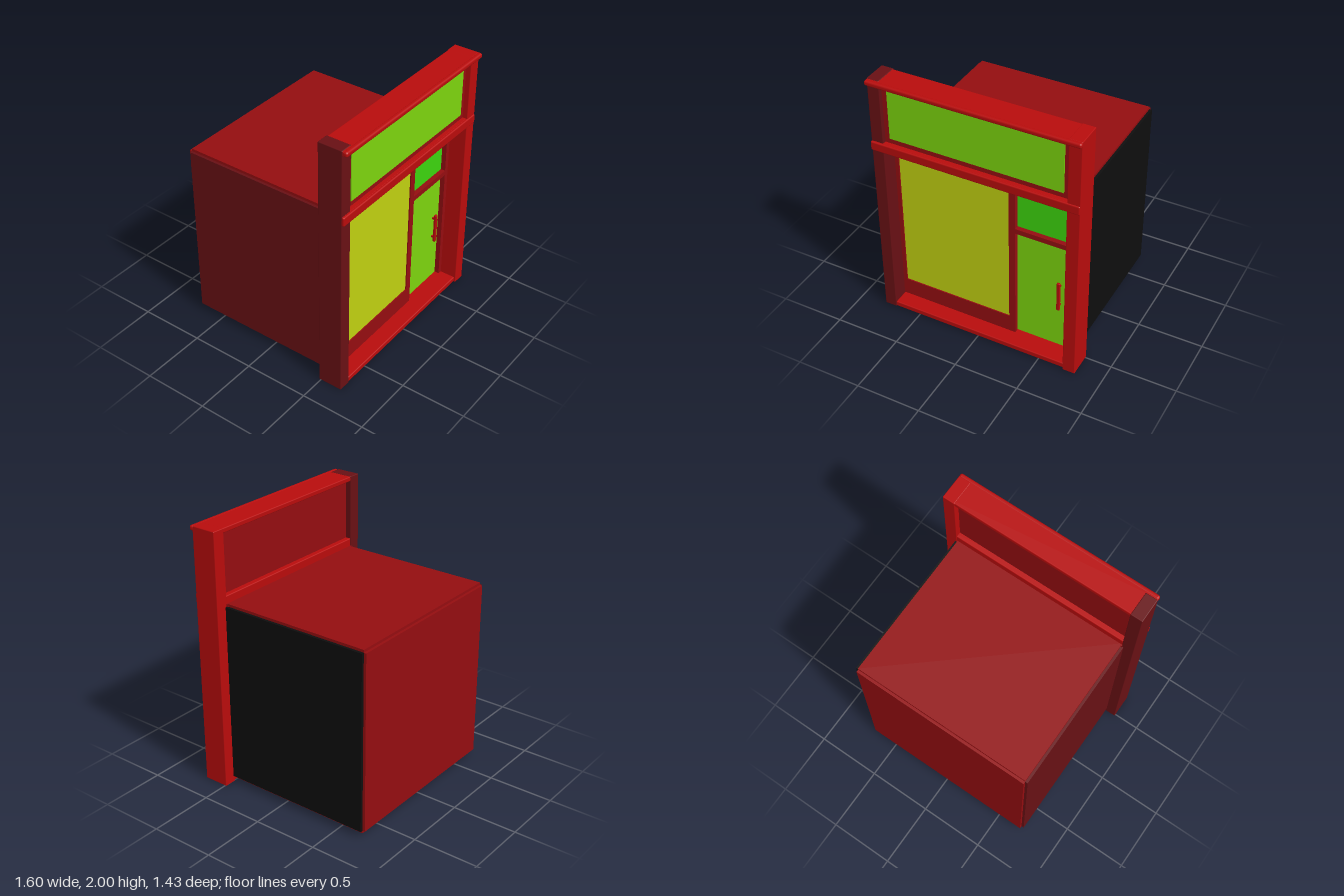
import * as THREE from 'three';
import { RoundedBoxGeometry } from 'three/addons/geometries/RoundedBoxGeometry.js';

const mat = (name, color) => {
  const m = new THREE.MeshStandardMaterial({ color });
  m.name = name;
  return m;
};

export function createModel() {
  const red = mat('bright red', 0xb80c0c);
  const crimson = mat('crimson', 0x940d10);
  const maroon = mat('maroon', 0x681014);
  const black = mat('black', 0x0e0e0e);
  const olive = mat('yellow green', 0xc0d010);
  const lime = mat('lime', 0x7cd40e);
  const green = mat('green', 0x3cd40e);

  const model = new THREE.Group();
  model.name = 'shopfront';

  // Box given by its limits on each axis; a radius rounds its edges
  const box = (parent, name, material, [x0, x1], [y0, y1], [z0, z1], radius = 0) => {
    const size = [x1 - x0, y1 - y0, z1 - z0];
    const geo = radius
      ? new RoundedBoxGeometry(...size, 3, radius)
      : new THREE.BoxGeometry(...size);
    const mesh = new THREE.Mesh(geo, material);
    mesh.name = name;
    mesh.position.set((x0 + x1) / 2, (y0 + y1) / 2, (z0 + z1) / 2);
    parent.add(mesh);
    return mesh;
  };
  const group = (name) => {
    const g = new THREE.Group();
    g.name = name;
    model.add(g);
    return g;
  };

  // Room behind the facade
  const room = group('room');
  box(room, 'roof', crimson, [-0.7, 0.695], [1.42, 1.44], [-0.695, 0.5]);
  box(room, 'floor', crimson, [-0.7, 0.695], [0.03, 0.05], [-0.695, 0.5]);
  box(room, 'backWall', crimson, [-0.7, 0.695], [0.05, 1.42], [-0.715, -0.695]);
  box(room, 'leftSideWall', black, [0.695, 0.715], [0.05, 1.42], [-0.695, 0.5]);
  box(room, 'rightSideWall', maroon, [-0.72, -0.7], [0.05, 1.42], [-0.695, 0.5]);

  // Posts and beams
  const frame = group('facadeFrame');
  box(frame, 'rightPost', maroon, [-0.8, -0.705], [0, 2], [0.485, 0.675], 0.006);
  box(frame, 'leftPost', red, [0.7, 0.797], [0, 1.998], [0.487, 0.685], 0.006);
  box(frame, 'cornice', red, [-0.797, 0.795], [1.96, 1.997], [0.49, 0.69], 0.008);
  box(frame, 'corniceNosing', red, [-0.8, 0.8], [1.96, 1.999], [0.676, 0.713], 0.015);
  box(frame, 'lintel', red, [-0.797, 0.795], [1.43, 1.5], [0.49, 0.68], 0.008);
  box(frame, 'lintelNosing', red, [-0.8, 0.795], [1.43, 1.5], [0.67, 0.693], 0.01);
  box(frame, 'sill', red, [-0.705, 0.7], [0.008, 0.05], [0.49, 0.675], 0.008);

  // Sign panel above the lintel
  const sign = group('signBand');
  box(sign, 'signBoard', crimson, [-0.71, 0.705], [1.49, 1.965], [0.53, 0.645]);
  box(sign, 'signPanel', lime, [-0.665, 0.66], [1.54, 1.93], [0.645, 0.651]);

  // Wall, surrounds and bars of the opening
  const opening = group('opening');
  box(opening, 'backing', crimson, [-0.71, 0.7], [0.04, 1.44], [0.48, 0.505]);
  const bars = [
    ['rightJamb', [-0.71, -0.675], [0.04, 1.44]],
    ['leftJamb', [0.665, 0.705], [0.04, 1.44]],
    ['headBar', [-0.675, 0.665], [1.4, 1.44]],
    ['mullion', [0.2, 0.25], [0.04, 1.4]],
    ['transomBar', [0.25, 0.665], [0.98, 1.02]],
    ['stallRiser', [-0.675, 0.2], [0.04, 0.19]],
  ];
  for (const [name, x, y] of bars) box(opening, name, crimson, x, y, [0.5, 0.55]);

  // Panes, door and handle
  box(opening, 'displayWindow', olive, [-0.675, 0.2], [0.19, 1.4], [0.535, 0.541]);
  box(opening, 'overdoorWindow', green, [0.25, 0.665], [1.02, 1.4], [0.506, 0.513]);
  box(opening, 'door', lime, [0.25, 0.665], [0.05, 0.98], [0.506, 0.513]);
  box(opening, 'doorHandle', red, [0.575, 0.6], [0.41, 0.655], [0.53, 0.55], 0.005);
  for (const y of [0.44, 0.61]) {
    box(opening, 'handleMount', red, [0.58, 0.595], [y, y + 0.015], [0.51, 0.535]);
  }

  return model;
}
